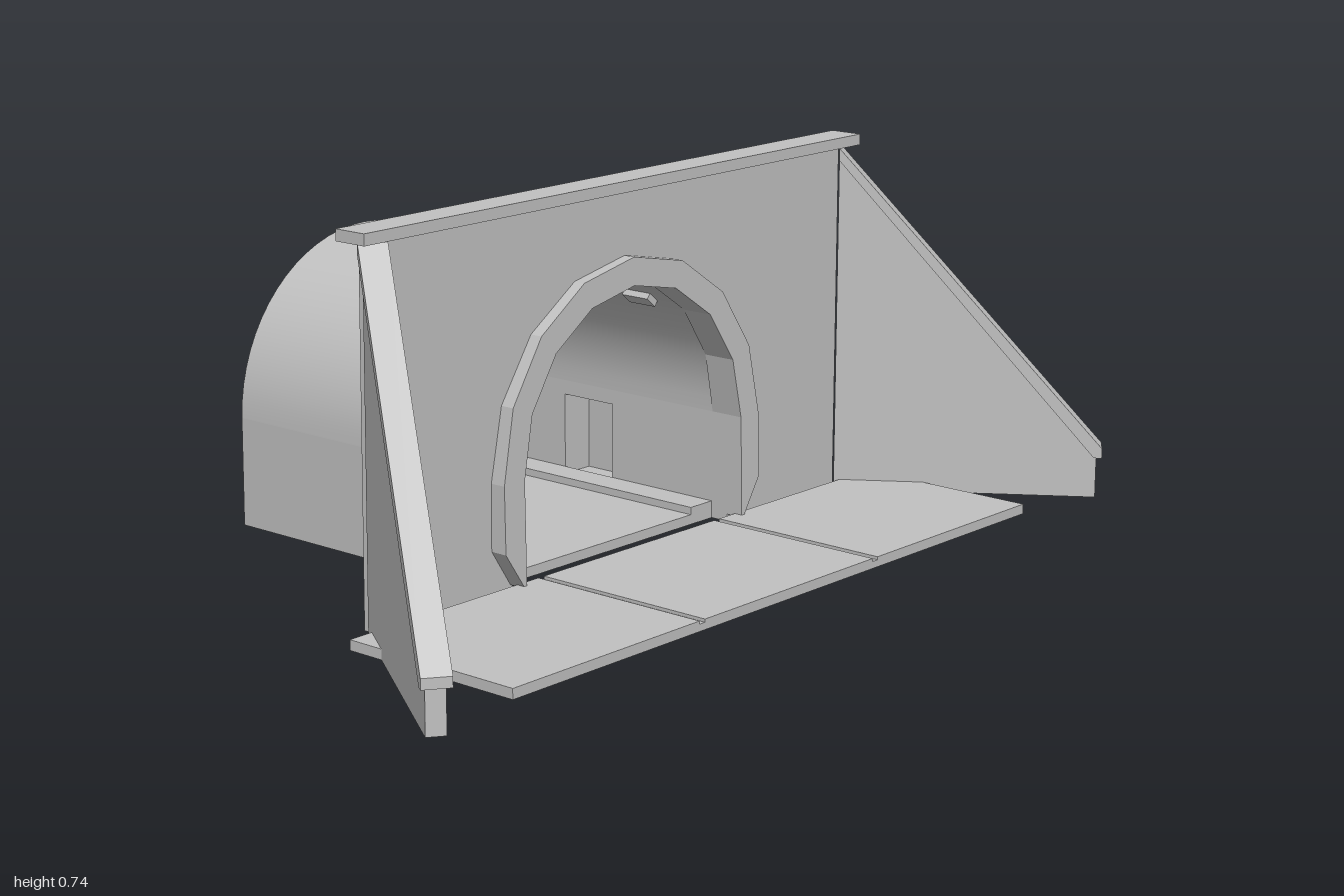
import * as THREE from 'three';
import { toCreasedNormals } from 'three/addons/utils/BufferGeometryUtils.js';

const concrete = new THREE.MeshStandardMaterial({ color: 0xc0c0c0 });
concrete.name = 'concrete';

const SPRING = 0.22; // height where the arch begins

export function createModel() {
  const model = new THREE.Group();
  model.name = 'tunnelPortal';

  const add = (name, geometry, parent = model) => {
    const mesh = new THREE.Mesh(geometry, concrete);
    mesh.name = name;
    parent.add(mesh);
    return mesh;
  };
  // Box given by its minimum and maximum corners
  const box = (name, x0, x1, y0, y1, z0, z1, parent) => {
    const g = new THREE.BoxGeometry(x1 - x0, y1 - y0, z1 - z0);
    g.translate((x0 + x1) / 2, (y0 + y1) / 2, (z0 + z1) / 2);
    return add(name, g, parent);
  };
  const extrude = (points, z0, z1) => {
    const g = new THREE.ExtrudeGeometry(new THREE.Shape(points), { depth: z1 - z0, bevelEnabled: false });
    return g.translate(0, 0, z0);
  };
  // Half circle of points from +x over the top to -x
  const arc = (r, n) => Array.from({ length: n + 1 }, (_, i) => {
    const a = (Math.PI * i) / n;
    return new THREE.Vector2(r * Math.cos(a), SPRING + r * Math.sin(a));
  });
  const V = (x, y) => new THREE.Vector2(x, y);

  // Headwall with the arched opening cut up from its foot
  add('headwall', extrude([
    V(0.66, 0), V(0.66, 0.715), V(-0.66, 0.715), V(-0.66, 0), V(-0.315, 0),
    ...arc(0.315, 8).reverse(), V(0.315, 0),
  ], 0.08, 0.12));
  box('headwallCoping', -0.705, 0.705, 0.715, 0.737, 0.07, 0.14);

  // Faceted arch surround, tapering in at the feet and leaning back slightly
  const ring = extrude([
    V(0.32, 0.015), V(0.37, 0.09), ...arc(0.37, 8), V(-0.37, 0.09), V(-0.32, 0.015),
    V(-0.315, 0.015), ...arc(0.315, 8).reverse(), V(0.315, 0.015),
  ], 0.12, 0.15);
  const p = ring.attributes.position;
  for (let i = 0; i < p.count; i++) {
    if (p.getZ(i) > 0.13) p.setZ(i, 0.158 - 0.024 * p.getY(i));
  }
  ring.computeVertexNormals();
  add('archSurround', ring);

  // Tunnel: smooth vault, side walls and floor
  const back = -0.58, front = 0.08;
  const vault = extrude([...arc(0.345, 32), ...arc(0.315, 32).reverse()], back, front);
  add('tunnelVault', toCreasedNormals(vault, 0.5));
  box('tunnelFloor', -0.315, 0.315, 0, 0.02, back, front);
  box('tunnelWallRight', -0.345, -0.315, 0, SPRING, back, front);
  box('tunnelWallLeftBack', 0.315, 0.345, 0, SPRING, back, -0.315);
  box('tunnelWallLeftFront', 0.315, 0.345, 0, SPRING, -0.185, front);
  box('tunnelWallLeftLintel', 0.315, 0.345, 0.19, SPRING, -0.315, -0.185);
  for (const s of [-1, 1]) {
    const kerb = box('kerb', -0.0325, 0.0325, 0.02, 0.035, back, front);
    kerb.position.x = s * 0.2825;
  }

  // Refuge niche built out from the left wall
  const niche = new THREE.Group();
  niche.name = 'niche';
  model.add(niche);
  box('nicheFloor', 0.315, 0.39, 0, 0.02, -0.315, -0.185, niche);
  box('nicheRoof', 0.345, 0.41, 0.19, 0.22, -0.315, -0.185, niche);
  box('nicheBack', 0.39, 0.41, 0, 0.19, -0.315, -0.185, niche);
  box('nicheSideBack', 0.345, 0.41, 0, 0.19, -0.335, -0.315, niche);
  box('nicheSideFront', 0.345, 0.41, 0, 0.19, -0.185, -0.165, niche);

  // Lamps in two rows along the vault
  for (const s of [-1, 1]) {
    for (let i = 0; i < 5; i++) {
      const lamp = add('lamp', new THREE.BoxGeometry(0.03, 0.014, 0.065));
      lamp.position.set(s * 0.196, SPRING + 0.238, -0.51 + i * 0.125);
      lamp.rotation.z = -s * 0.69;
    }
  }

  // Apron: three slabs with shallow joints between them
  box('apronBase', -0.755, 0.755, 0, 0.014, 0.14, 0.53);
  for (const [x0, x1] of [[-0.755, -0.265], [-0.25, 0.25], [0.265, 0.755]]) {
    box('apronSlab', x0, x1, 0.014, 0.02, 0.14, 0.53);
  }

  // Splayed wing walls with sloping copings; local x runs along the wall
  const dx = 0.305, dz = 0.44, len = Math.hypot(dx, dz);
  for (const s of [-1, 1]) {
    const wing = new THREE.Group();
    wing.name = s > 0 ? 'wingWallLeft' : 'wingWallRight';
    wing.position.set(s * 0.665, 0, 0.12);
    wing.rotation.y = -Math.atan2(dz, s * dx);
    model.add(wing);
    add('wingWall', extrude([V(0, 0), V(len, 0), V(len, 0.09), V(0, 0.69)], -0.018, 0.018), wing);
    add('wingCoping', extrude([
      V(0, 0.69), V(len - 0.005, 0.085), V(len + 0.011, 0.085), V(len + 0.011, 0.105), V(0, 0.715),
    ], -0.027, 0.027), wing);
  }
  return model;
}
